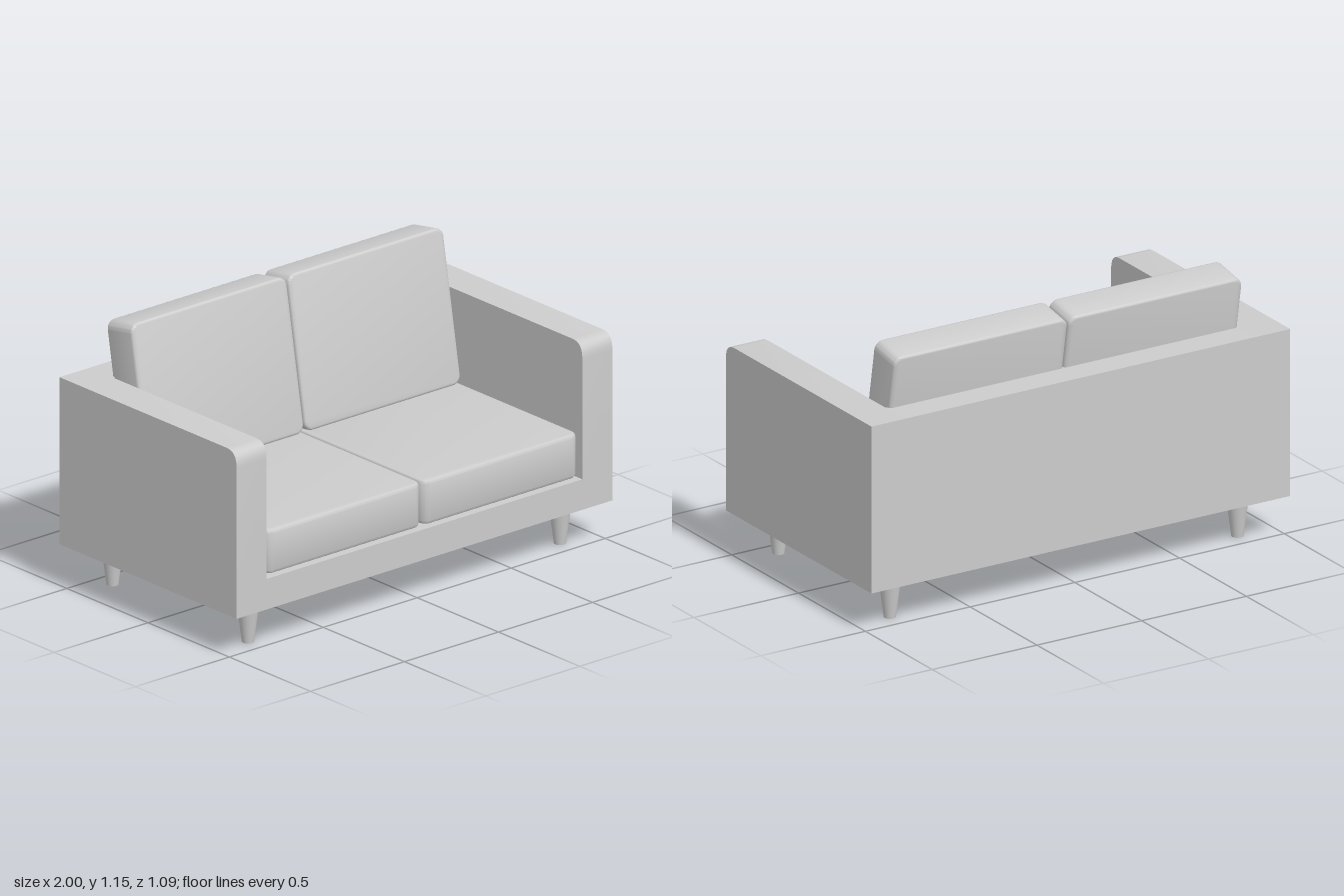
import * as THREE from 'three';
import { toCreasedNormals } from 'three/addons/utils/BufferGeometryUtils.js';

const material = new THREE.MeshStandardMaterial({ color: 0xcccccc });

function addMesh(parent, name, geometry, x = 0, y = 0, z = 0) {
  const mesh = new THREE.Mesh(geometry, material);
  mesh.name = name;
  mesh.position.set(x, y, z);
  parent.add(mesh);
  return mesh;
}

// Centred slab w x h in XY with rounded corners, d thick in Z, softened rims
function cushionGeometry(w, h, d, radius, bevel) {
  const a = w / 2 - bevel, b = h / 2 - bevel, r = radius - bevel;
  const s = new THREE.Shape();
  s.absarc(a - r, b - r, r, 0, Math.PI / 2);
  s.absarc(-a + r, b - r, r, Math.PI / 2, Math.PI);
  s.absarc(-a + r, -b + r, r, Math.PI, Math.PI * 1.5);
  s.absarc(a - r, -b + r, r, Math.PI * 1.5, Math.PI * 2);
  s.closePath();
  const geo = new THREE.ExtrudeGeometry(s, {
    depth: d - 2 * bevel, bevelThickness: bevel, bevelSize: bevel, bevelSegments: 3, curveSegments: 5,
  });
  geo.translate(0, 0, -d / 2 + bevel);
  return toCreasedNormals(geo, 0.65);
}

// Arm side profile (depth, height) with a rounded front top corner, extruded across its width
function armGeometry(width) {
  const s = new THREE.Shape();
  s.moveTo(-0.545, 0.178);
  s.lineTo(0.545, 0.178);
  s.lineTo(0.545, 0.83);
  s.bezierCurveTo(0.545, 0.872, 0.53, 0.9, 0.485, 0.9);
  s.lineTo(-0.545, 0.9);
  s.closePath();
  const geo = new THREE.ExtrudeGeometry(s, { depth: width, bevelEnabled: false, curveSegments: 5 });
  geo.translate(0, 0, -width / 2);
  geo.rotateY(-Math.PI / 2);
  return toCreasedNormals(geo, 0.6);
}

export function createModel() {
  const sofa = new THREE.Group();
  sofa.name = 'sofa';

  // Frame
  addMesh(sofa, 'seatBase', new THREE.BoxGeometry(1.68, 0.132, 1.09), 0, 0.244, 0);
  addMesh(sofa, 'backPanel', new THREE.BoxGeometry(1.68, 0.59, 0.145), 0, 0.605, -0.4725);

  const arm = armGeometry(0.16);
  const seat = cushionGeometry(0.828, 0.937, 0.19, 0.04, 0.014).rotateX(-Math.PI / 2);
  const back = cushionGeometry(0.828, 0.655, 0.16, 0.04, 0.012);
  const leg = new THREE.CylinderGeometry(0.048, 0.025, 0.18, 24);

  for (const [side, sx] of [['left', 1], ['right', -1]]) {
    addMesh(sofa, side + 'Arm', arm, sx * 0.92, 0, 0);

    // Cushions
    addMesh(sofa, side + 'SeatCushion', seat, sx * 0.417, 0.415, 0.0685);
    const backCushion = addMesh(sofa, side + 'BackCushion', back, sx * 0.417, 0.819, -0.322);
    backCushion.rotation.x = THREE.MathUtils.degToRad(-10);

    // Tapered legs
    addMesh(sofa, side + 'FrontLeg', leg, sx * 0.83, 0.09, 0.418);
    addMesh(sofa, side + 'BackLeg', leg, sx * 0.83, 0.09, -0.416);
  }
  return sofa;
}
